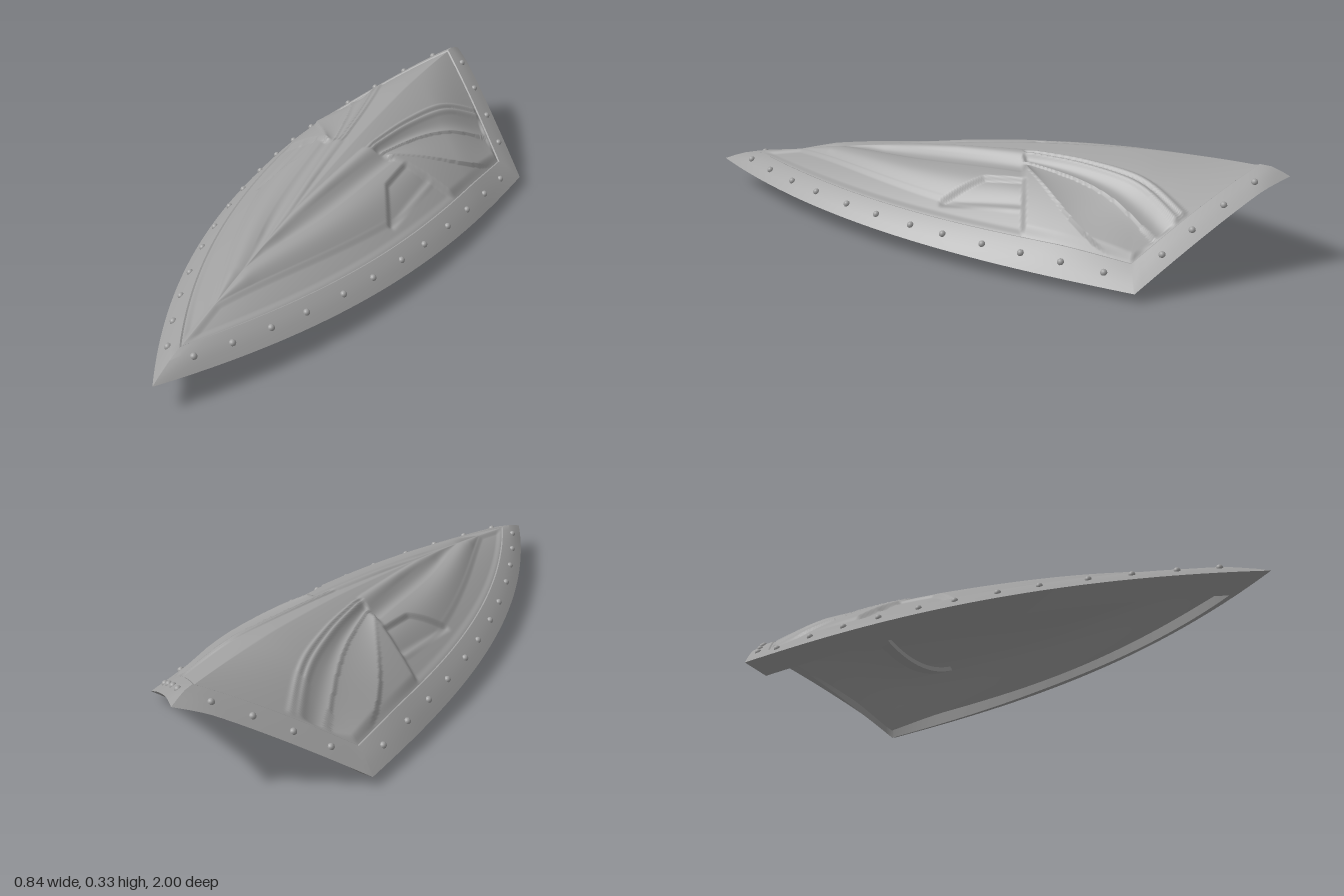
import * as THREE from 'three';
import { toCreasedNormals } from 'three/addons/utils/BufferGeometryUtils.js';

const steel = new THREE.MeshStandardMaterial({ color: 0xa0a0a0 });
steel.name = 'steel';

const step = (a, b, v) => THREE.MathUtils.smoothstep(v, a, b);

// Smooth function through [z, value] points, held constant past its ends
function spline(pts) {
  const slope = (i) => {
    const a = pts[Math.max(i - 1, 0)], b = pts[Math.min(i + 1, pts.length - 1)];
    return (b[1] - a[1]) / (b[0] - a[0]);
  };
  return (z) => {
    if (z <= pts[0][0]) return pts[0][1];
    if (z >= pts[pts.length - 1][0]) return pts[pts.length - 1][1];
    const i = pts.findIndex((p) => p[0] > z) - 1;
    const [z0, v0] = pts[i], [z1, v1] = pts[i + 1], h = z1 - z0, t = (z - z0) / h;
    return v0 * (1 + 2 * t) * (1 - t) ** 2 + v1 * t * t * (3 - 2 * t)
      + h * t * (1 - t) * (slope(i) * (1 - t) - slope(i + 1) * t);
  };
}

// Shield outline and crown
const CORNER = -0.65;
const along = (z) => THREE.MathUtils.clamp((z - CORNER) / (1 - CORNER), 0, 1);
const sideWidth = (z) => 0.42 * (1 - along(z) ** 2.5);
const sideSlope = (z) => (0.42 * 2.5 / 1.65) * along(z) ** 1.5;
// Half width at z of the outline moved inward by d
const halfWidth = (z, d) => Math.max(0, Math.min(
  sideWidth(z) - d * Math.hypot(1, sideSlope(z)), 1.2 * (z + 1) - d * Math.hypot(1, 1.2)));
const ridge = spline([[-1, 0.3], [-0.92, 0.322], [-0.6, 0.33], [-0.4, 0.32], [-0.2, 0.303], [0, 0.278],
  [0.2, 0.25], [0.4, 0.22], [0.6, 0.185], [0.8, 0.145], [0.87, 0.13], [1, 0.09]]);
// Arched across, flattening to nearly straight slopes at the two top edges
function crown(x, z) {
  const a = Math.abs(x), w = sideWidth(z), t = w < 1e-5 ? 0 : Math.min(1, a / w);
  const edge = 0.03 + 0.06 * along(z);
  const arch = 0.08 + 0.51 * step(0, 0.36, z + 1 - a / 1.2);
  return edge + (ridge(z) - edge) * (1 - t) * (1 + arch * t);
}
// Apex, corner and tip of the inset outline
function stations(d) {
  let lo = 0, hi = 1;
  for (let i = 0; i < 40; i++) {
    const m = (lo + hi) / 2;
    if (sideWidth(m) - d * Math.hypot(1, sideSlope(m)) > 0) lo = m; else hi = m;
  }
  return { apex: -1 + d * Math.hypot(1, 1.2) / 1.2, corner: -1 + (0.42 + d * (Math.hypot(1, 1.2) - 1)) / 1.2, tip: lo };
}

// Closed ring of [x, z] from the tip round by +x
function ring(d, nSide = 60, nTop = 20) {
  const { apex, corner, tip } = stations(d), half = [];
  for (let i = 0; i <= nSide; i++) {
    const z = tip + (corner - tip) * (1 - (1 - i / nSide) ** 1.5);
    half.push([i ? halfWidth(z, d) : 0, z]);
  }
  for (let i = 1; i <= nTop; i++) {
    const z = corner + (apex - corner) * i / nTop;
    half.push([i < nTop ? halfWidth(z, d) : 0, z]);
  }
  return half.concat(half.slice(1, -1).reverse().map(([x, z]) => [-x, z]));
}

// Surface through rows of [x, y, z] points
function skin(rows, closed) {
  const n = rows[0].length, index = [];
  for (let i = 0; i < rows.length - 1; i++) {
    for (let j = 0; j < (closed ? n : n - 1); j++) {
      const a = i * n + j, b = i * n + (j + 1) % n;
      if (closed) index.push(a, b, b + n, a, b + n, a + n);
      else index.push(a, a + n, b, b, a + n, b + n);
    }
  }
  const g = new THREE.BufferGeometry();
  g.setAttribute('position', new THREE.Float32BufferAttribute(rows.flat(2), 3));
  g.setIndex(index);
  g.computeVertexNormals();
  return g;
}

// Panel inside the inset outline, with height(x, z)
function panel(d, nTop, nSide, cols, height, dir = 1) {
  const { apex, corner, tip } = stations(d), rows = [];
  for (let i = 0; i <= nTop + nSide; i++) {
    const z = i <= nTop ? apex + (corner - apex) * i / nTop : corner + (tip - corner) * (i - nTop) / nSide;
    const w = halfWidth(z, d), row = [];
    for (let j = 0; j <= cols; j++) {
      const x = dir * w * (2 * j / cols - 1);
      row.push([x, height(x, z), z]);
    }
    rows.push(row);
  }
  return skin(rows, false);
}

// Lines that bound the embossed feathers (upper) and nested V bands (lower)
const upper = [
  [[-0.8, 0.22], [-0.6, 0.125], [-0.4, 0.075], [-0.2, 0.045]],
  [[-0.76, 0.25], [-0.6, 0.17], [-0.4, 0.11], [-0.2, 0.07]],
  [[-0.7, 0.29], [-0.55, 0.22], [-0.4, 0.155], [-0.2, 0.095]],
  [[-0.6, 0.35], [-0.49, 0.325], [-0.4, 0.28], [-0.28, 0.19], [-0.18, 0.11]],
].map(spline);
const lower = [
  [[-0.2, 0.04], [0.25, 0]],
  [[-0.2, 0.09], [0.42, 0]],
  [[-0.2, 0.14], [0.2, 0.085], [0.52, 0]],
  [[-0.2, 0.25], [0, 0.235], [0.3, 0.15], [0.68, 0]],
].map(spline);
const RIM = 0.075, WALL = 0.078;

function relief(x, z) {
  const a = Math.abs(x) + 1e-6;
  const band = (lines, k) => (a - lines[k](z)) / Math.max(1e-4, lines[k + 1](z) - lines[k](z));
  const bump = (r) => Math.sin(Math.PI * r);
  // V bands shrink in height where they run out at the centre
  const vBand = (k) => bump(band(lower, k)) * Math.min(1, lower[k + 1](z) / 0.05);
  // Fan of feathers
  let up = 0;
  if (a > upper[3](z)) up = 0.004 + 0.008 * step(-0.5, -0.25, z);
  else if (a > upper[2](z)) up = -0.008 + 0.024 * band(upper, 2) ** 1.5;
  else if (a > upper[1](z)) up = -0.01 * bump(band(upper, 1));
  else if (a > upper[0](z)) up = 0.008 * Math.abs(bump(2 * band(upper, 0)));
  let low = 0;
  if (a > lower[3](z)) low = -0.006 * step(0, 0.02, a - lower[3](z));
  else if (a > lower[2](z)) low = 0.012 * vBand(2);
  else if (a > lower[1](z)) low = -0.01 * vBand(1);
  else if (a > lower[0](z)) low = 0.01 * vBand(0);
  // Sunken facet with a slanted lower end
  const inner = 0.165 + 0.6 * Math.max(0, z + 0.08);
  low -= 0.014 * step(0, 0.012, a - inner) * step(0, 0.03, 0.265 - a) * step(0, 0.02, 0.05 - z);
  // Feathers end on a slanted step
  const line = -0.18 - 0.36 * (a - 0.08);
  const h = THREE.MathUtils.lerp(up, low, step(line - 0.008, line + 0.008, z));
  return h * step(0, 0.025, halfWidth(z, RIM) - a);
}

// Height of the hollow back, thicker toward the sides
const hollow = (x, z) => crown(x, z) - 0.052
  - 0.018 * (1 - step(0, 0.12, sideWidth(z) - WALL - Math.abs(x)));

export function createModel() {
  const shield = new THREE.Group();
  shield.name = 'shield';
  const add = (name, geometry, parent = shield) => {
    const m = new THREE.Mesh(geometry, steel);
    m.name = name;
    parent.add(m);
    return m;
  };

  // Embossed face and plain hollow back
  add('embossedFace', panel(RIM, 50, 200, 180, (x, z) => crown(x, z) - 0.001 + relief(x, z)));
  add('hollowBack', panel(WALL, 20, 60, 40, hollow, -1));

  // Rim, from the back's inner wall round the outer edge to the face
  const outer = ring(0);
  const lift = (d, dy) => ring(d).map(([x, z]) => [x, crown(x, z) + dy, z]);
  const under = ring(0.07).map(([x, z], i) => {
    const [ox, oz] = outer[i];
    return [x, crown(ox, oz) - 0.03 - 0.015 * step(0, 1, oz), z];
  });
  const wall = ring(WALL).map(([x, z]) => [x, hollow(x, z), z]);
  const rimRows = [wall, under, lift(0, 0), lift(0.02, 0.004), lift(0.045, 0.006),
    lift(0.07, 0.004), lift(RIM, -0.001)];
  add('rim', toCreasedNormals(skin(rimRows, true), 0.6));

  // Rivets along the sides and the two top edges
  const rivets = new THREE.Group();
  rivets.name = 'rivets';
  shield.add(rivets);
  const dome = new THREE.SphereGeometry(0.011, 12, 8);
  const inset = 0.034;
  const spots = [-0.545, -0.41, -0.28, -0.15, -0.01, 0.11, 0.245, 0.37, 0.51, 0.63, 0.75, 0.86]
    .map((z) => [halfWidth(z, inset), z]);
  for (const x of [0.06, 0.145, 0.23, 0.31]) spots.push([x, -1 + (x + inset * Math.hypot(1, 1.2)) / 1.2]);
  for (const [x, z] of spots) {
    for (const s of [-1, 1]) add('rivet', dome, rivets).position.set(s * x, crown(x, z) + 0.004, z);
  }

  // Sagging grip strap across the back
  const strap = new THREE.Shape();
  strap.moveTo(-0.225, 0.146);
  strap.quadraticCurveTo(0, 0.034, 0.225, 0.146);
  strap.lineTo(0.22, 0.16);
  strap.quadraticCurveTo(0, 0.05, -0.22, 0.16);
  strap.closePath();
  const grip = new THREE.ExtrudeGeometry(strap, { depth: 0.04, bevelEnabled: false, curveSegments: 20 });
  add('gripStrap', toCreasedNormals(grip, 0.5)).position.z = -0.31;

  return shield;
}
